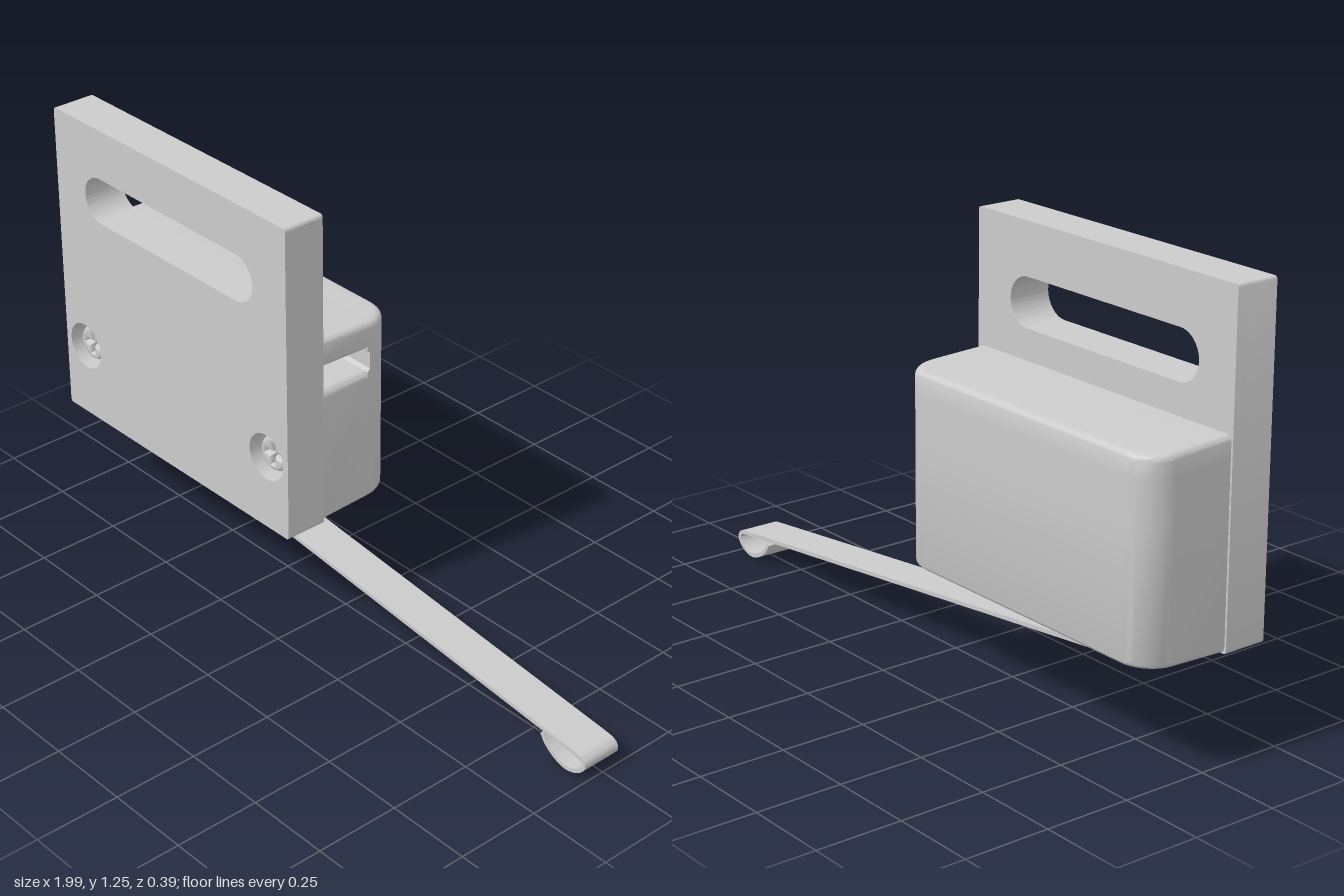
import * as THREE from 'three';
import { toCreasedNormals } from 'three/addons/utils/BufferGeometryUtils.js';

const grey = new THREE.MeshStandardMaterial({ color: 0xcccccc });
const PI = Math.PI;
const POCKET = { x0: -0.815, x1: -0.2, back: -0.095, y: 0.36 };

function part(parent, name, geometry, x = 0, y = 0, z = 0) {
  const mesh = new THREE.Mesh(geometry, grey);
  mesh.name = name;
  mesh.position.set(x, y, z);
  parent.add(mesh);
  return mesh;
}

const polygon = (pts) => new THREE.Shape(pts.map(([x, y]) => new THREE.Vector2(x, y)));

function extrude(shape, depth, z, options = {}) {
  const g = new THREE.ExtrudeGeometry(shape, { depth, bevelEnabled: false, curveSegments: 20, ...options });
  return toCreasedNormals(g.translate(0, 0, z), 0.6);
}

// Slight moulding draft: heights shrink towards the back
const draft = (y, z) => 0.585 + (y - 0.585) * (1 - 0.13 * (0.07 - z));

// Horizontal outline of the housing; cut pushes part of the +x wall inwards
function outline(inset, cut, cutEnd) {
  const left = -0.992 + inset, right = -0.018 - inset, back = -0.195 + inset;
  const r = 0.09 - inset * 0.5;
  const pts = [[left, 0.07], [right - cut, 0.07], [right - cut, cutEnd], [right, cutEnd]];
  for (const [cx, start] of [[right - r, 0], [left + r, PI / 2]]) {
    for (let i = 0; i <= 10; i++) {
      const a = start + (i / 10) * PI / 2;
      pts.push([cx + r * Math.cos(a), back + r - r * Math.sin(a)]);
    }
  }
  return pts;
}

function housingGeometry() {
  const levels = [];
  const add = (y, inset, cut = 0, end = -0.095) => levels.push({ y, pts: outline(inset, cut, end) });
  const R = 0.02, F = 0.025;
  // rounded bottom edge
  for (let i = 0; i <= 5; i++) {
    const a = (i / 5) * PI / 2;
    add(0.3 + R * (1 - Math.cos(a)), R * (1 - Math.sin(a)));
  }
  // cable opening with flared lips
  for (let i = 0; i <= 5; i++) {
    const a = (i / 5) * PI / 2;
    add(0.69 + F * Math.sin(a), 0, F * (1 - Math.cos(a)));
  }
  add(0.715, 0, 0.16);
  add(0.725, 0, 0.16, -0.104);
  add(0.775, 0, 0.16, -0.104);
  add(0.783, 0, 0.16);
  for (let i = 5; i >= 0; i--) {
    const a = (i / 5) * PI / 2;
    add(0.808 - F * Math.sin(a), 0, F * (1 - Math.cos(a)));
  }
  // rounded top edge
  for (let i = 0; i <= 5; i++) {
    const a = (i / 5) * PI / 2;
    add(0.872 - R * (1 - Math.sin(a)), R * (1 - Math.cos(a)));
  }

  const pos = [], index = [], n = levels[0].pts.length;
  for (const { y, pts } of levels) for (const [x, z] of pts) pos.push(x, draft(y, z), z);
  for (let j = 0; j < levels.length - 1; j++) {
    for (let i = 1; i < n; i++) { // the front stays open against the plate
      const a = j * n + i, b = j * n + (i + 1) % n;
      index.push(a, b, b + n, a, b + n, a + n);
    }
  }
  // caps; the bottom one leaves out the switch pocket
  const cap = (y, pts, up) => {
    const base = pos.length / 3;
    for (const [x, z] of pts) pos.push(x, draft(y, z), z);
    const flat = pts.map(([x, z]) => new THREE.Vector2(x, -z));
    for (const [a, b, c] of THREE.ShapeUtils.triangulateShape(flat, [])) {
      index.push(base + a, base + (up ? b : c), base + (up ? c : b));
    }
  };
  const clean = (pts) => [pts[0], pts[1], ...pts.slice(4)];
  cap(0.872, clean(levels[levels.length - 1].pts), true);
  const low = clean(levels[0].pts), p = POCKET;
  low.splice(1, 0, [p.x0, 0.07], [p.x0, p.back], [p.x1, p.back], [p.x1, 0.07]);
  cap(0.3, low, false);

  const g = new THREE.BufferGeometry();
  g.setAttribute('position', new THREE.Float32BufferAttribute(pos, 3));
  g.setIndex(index);
  return toCreasedNormals(g, 0.6);
}

// Inward-facing pocket, open below and towards the plate
function pocketGeometry() {
  const p = POCKET;
  const g = new THREE.BoxGeometry(p.x1 - p.x0, p.y - 0.3, 0.07 - p.back);
  g.translate((p.x0 + p.x1) / 2, (p.y + 0.3) / 2, (0.07 + p.back) / 2);
  const v = g.attributes.position;
  for (let i = 0; i < v.count; i++) if (v.getY(i) < 0.31) v.setY(i, draft(0.3, v.getZ(i)));
  const idx = Array.from(g.index.array);
  g.setIndex([...idx.slice(0, 18), ...idx.slice(30)].reverse());
  g.clearGroups();
  g.computeVertexNormals();
  return g;
}

// Plate outline with slot and screw holes; notch cuts the pocket into its lower edge
function plateShape(notch) {
  const l = -0.998, r = -0.01, b = 0.3, t = 1.25, c = 0.01, p = POCKET;
  const s = new THREE.Shape();
  s.moveTo(l + c, b);
  if (notch) s.lineTo(p.x0, b).lineTo(p.x0, p.y).lineTo(p.x1, p.y).lineTo(p.x1, b);
  s.lineTo(r - c, b).quadraticCurveTo(r, b, r, b + c);
  s.lineTo(r, t - c).quadraticCurveTo(r, t, r - c, t);
  s.lineTo(l + c, t).quadraticCurveTo(l, t, l, t - c);
  s.lineTo(l, b + c).quadraticCurveTo(l, b, l + c, b);
  const slot = new THREE.Path();
  slot.absarc(-0.8, 1.03, 0.07, PI / 2, PI * 1.5, false);
  slot.absarc(-0.215, 1.03, 0.07, -PI / 2, PI / 2, false);
  slot.closePath();
  s.holes.push(slot);
  for (const x of [-0.908, -0.1]) s.holes.push(new THREE.Path().absarc(x, 0.525, 0.07, 0, PI * 2, true));
  return s;
}

// Domed screw head with a cross recess
function addScrew(parent, x) {
  const screw = new THREE.Group();
  screw.name = 'screw';
  screw.position.set(x, 0.525, 0);
  const head = new THREE.Shape().absarc(0, 0, 0.044, 0, PI * 2, false);
  const w = 0.013, l = 0.04, cross = [];
  for (let k = 0; k < 4; k++) {
    const c = Math.cos(k * PI / 2), s = Math.sin(k * PI / 2);
    for (const [u, v] of [[l, -w], [l, w], [w, w]]) cross.push(new THREE.Vector2(u * c - v * s, u * s + v * c));
  }
  head.holes.push(new THREE.Path(cross));
  part(screw, 'screwHead', extrude(head, 0.025, 0.125, {
    bevelEnabled: true, bevelSize: 0.01, bevelThickness: 0.025, bevelSegments: 4,
  }));
  part(screw, 'crossFloor', new THREE.CircleGeometry(0.045, 24), 0, 0, 0.14);
  part(screw, 'holeFloor', new THREE.CircleGeometry(0.07, 32), 0, 0, 0.12);
  parent.add(screw);
}

// Thin bent strip following a path in the xy plane
function stripGeometry(path, thickness, width) {
  const side = (sign) => path.map(([x, y], i) => {
    const a = path[Math.max(i - 1, 0)], b = path[Math.min(i + 1, path.length - 1)];
    const dx = b[0] - a[0], dy = b[1] - a[1], k = sign * thickness / 2 / Math.hypot(dx, dy);
    return [x - dy * k, y + dx * k];
  });
  return extrude(polygon([...side(1), ...side(-1).reverse()]), width, -width / 2);
}

export function createModel() {
  const model = new THREE.Group();
  model.name = 'leverSwitch';

  // Mounting plate in two layers, the rear one notched for the switch
  const plate = new THREE.Group();
  plate.name = 'mountingPlate';
  part(plate, 'plateFront', extrude(plateShape(false), 0.093, 0.105));
  part(plate, 'plateRear', extrude(plateShape(true), 0.035, 0.07));
  model.add(plate);
  for (const x of [-0.908, -0.1]) addScrew(model, x);

  // Housing
  part(model, 'housing', housingGeometry());
  part(model, 'switchPocket', pocketGeometry());

  // Switch body and plunger
  const body = polygon([[-0.813, 0.36], [-0.813, 0.285], [-0.8, 0.272], [-0.535, 0.272], [-0.512, 0.292], [-0.512, 0.36]]);
  part(model, 'switchBody', extrude(body, 0.198, -0.094));
  const plunger = polygon([[-0.632, 0.29], [-0.632, 0.25], [-0.62, 0.24], [-0.59, 0.24], [-0.575, 0.25], [-0.575, 0.29]]);
  part(model, 'plunger', extrude(plunger, 0.094, -0.045));

  // Spring lever with a curled tip
  const curl = new THREE.CatmullRomCurve3([
    [0.955, 0.07], [0.98, 0.064], [0.991, 0.049], [0.984, 0.033], [0.963, 0.016],
    [0.93, 0.007], [0.898, 0.014], [0.87, 0.03], [0.85, 0.049], [0.839, 0.067],
  ].map(([x, y]) => new THREE.Vector3(x, y, 0))).getPoints(36).map((p) => [p.x, p.y]);
  const path = [[-0.725, 0.285], [-0.725, 0.259], [-0.722, 0.25], [-0.713, 0.245], [-0.7, 0.243], ...curl];
  part(model, 'lever', stripGeometry(path, 0.012, 0.122), 0, 0, 0.003);

  return model;
}
